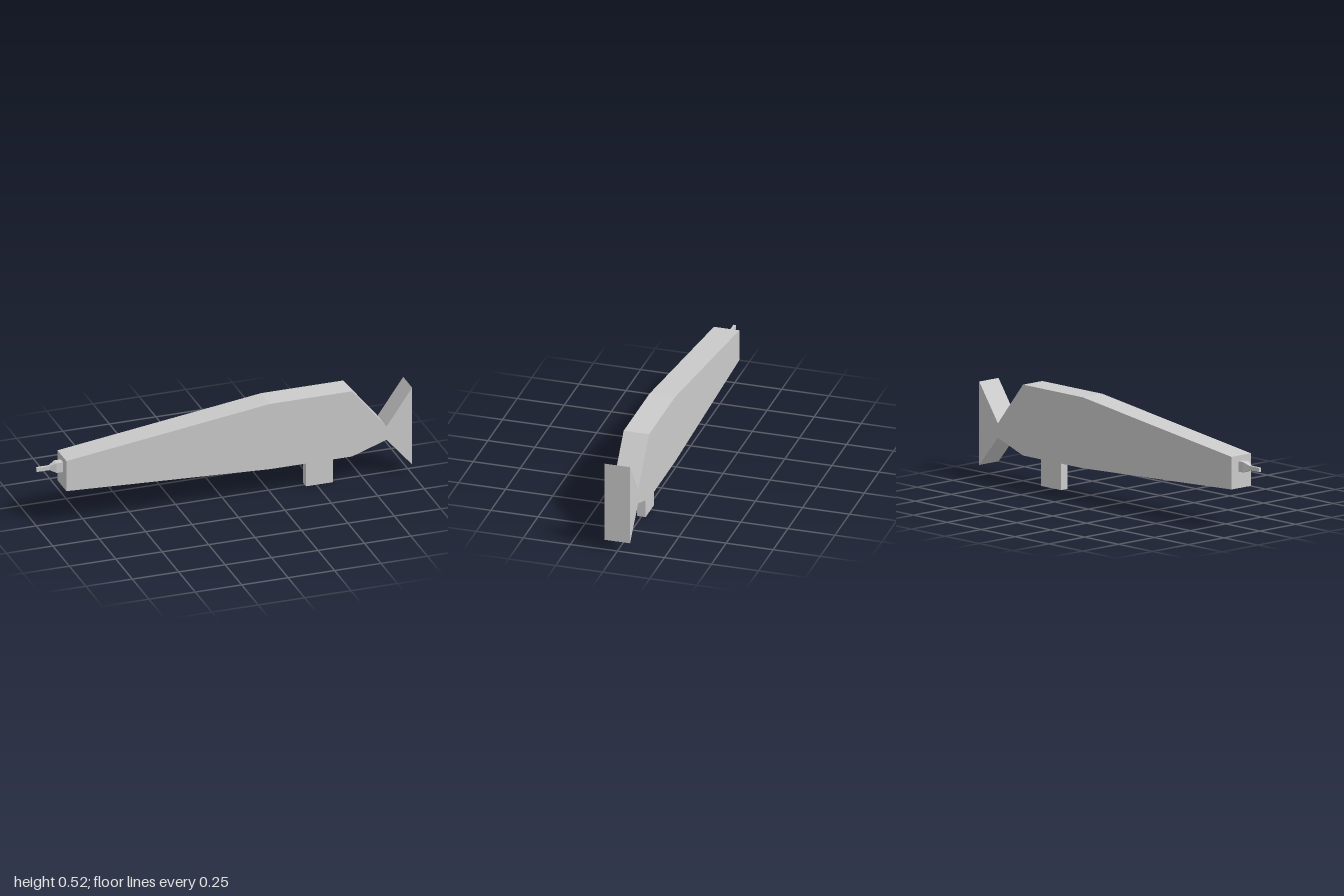
import * as THREE from 'three';

export function createModel() {
  const model = new THREE.Group();
  const material = new THREE.MeshStandardMaterial({ color: 0xcccccc, flatShading: true });
  const add = (name, geometry, x = 0, y = 0, z = 0) => {
    const mesh = new THREE.Mesh(geometry, material);
    mesh.name = name;
    mesh.position.set(x, y, z);
    model.add(mesh);
  };

  // Flat-sided body with a pinched waist and flared tail
  const depth = 0.135;
  const outline = [
    [-0.862, 0.204], [0.235, 0.151], [0.677, 0.151], [0.862, 0.215], [1, 0.054],
    [1, 0.486], [0.862, 0.29], [0.677, 0.518], [0.235, 0.518], [-0.862, 0.373],
  ].map(([x, y]) => new THREE.Vector2(x, y));
  add('body', new THREE.ExtrudeGeometry(new THREE.Shape(outline), { depth, bevelEnabled: false }), 0, 0, -depth / 2);

  // Small block under the belly
  add('foot', new THREE.BoxGeometry(0.146, 0.155, 0.045), 0.517, 0.0775, 0);

  // Rectangular nose tip, stepped down by a short taper: [x, half height, half depth]
  const sections = [[-1, 0.011, 0.007], [-0.932, 0.011, 0.007], [-0.897, 0.027, 0.019], [-0.86, 0.027, 0.019]];
  const tip = new THREE.BoxGeometry(3, 2, 2, 3, 1, 1);
  const p = tip.attributes.position;
  for (let i = 0; i < p.count; i++) {
    const [x, h, d] = sections[Math.round(p.getX(i) + 1.5)];
    p.setXYZ(i, x, p.getY(i) * h, p.getZ(i) * d);
  }
  tip.computeVertexNormals();
  add('noseTip', tip, 0, 0.317, 0);

  return model;
}
